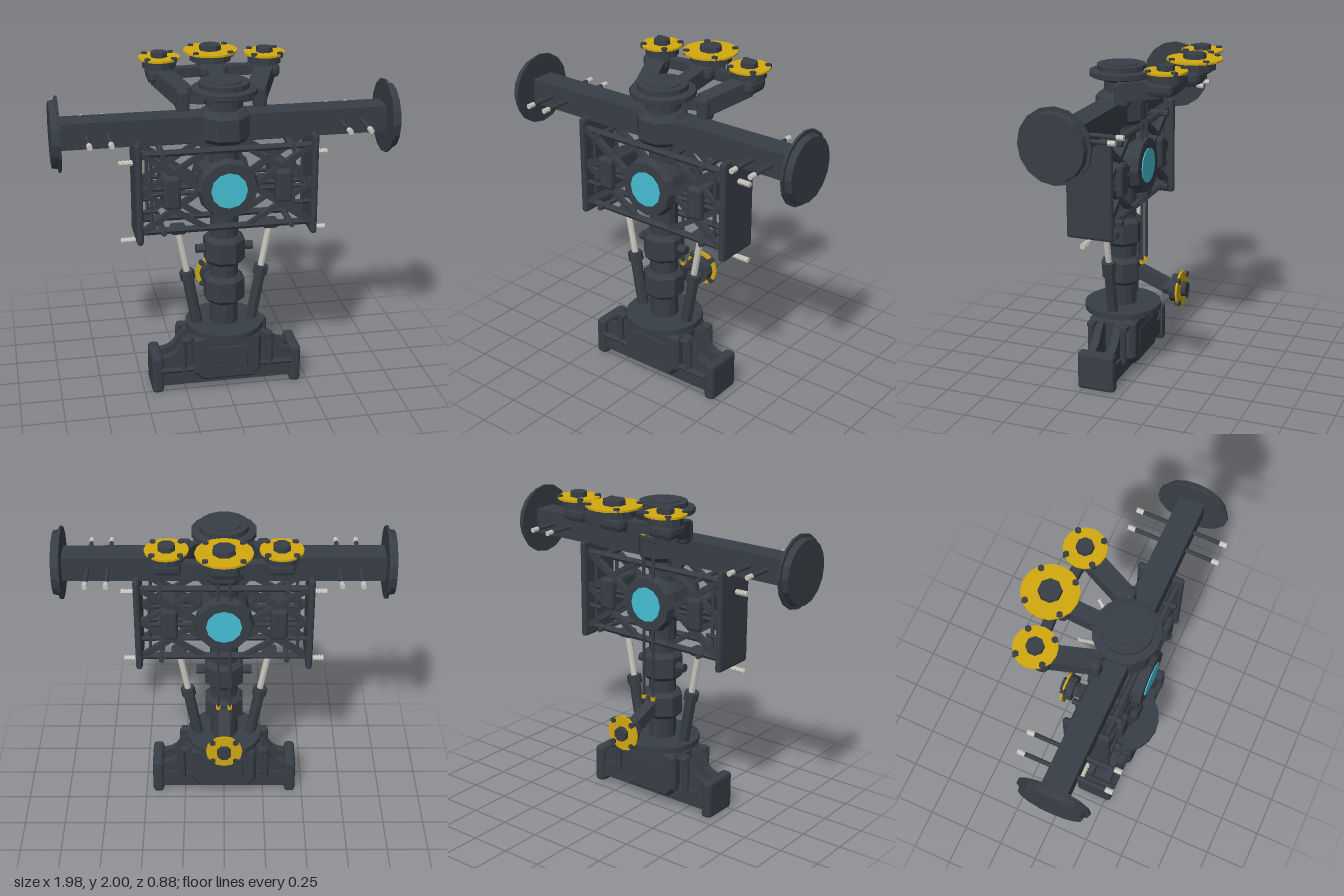
import * as THREE from 'three';
import { RoundedBoxGeometry } from 'three/addons/geometries/RoundedBoxGeometry.js';

const paint = (name, color) => {
  const m = new THREE.MeshStandardMaterial({ color, flatShading: true });
  m.name = name;
  return m;
};

export function createModel() {
  const dark = paint('dark hull', 0x383e46);
  const gold = paint('gold ring', 0xd2a90f);
  const glass = paint('cyan window', 0x45bfd4);
  const steel = paint('pale steel', 0xc9c6be);
  const model = new THREE.Group();
  model.name = 'station';
  const CZ = 0.165; // depth of the central axis
  const V = (x, y, z) => new THREE.Vector3(x, y, z);
  const UP = V(0, 1, 0);

  const add = (name, geo, mat, x = 0, y = 0, z = 0, parent = model) => {
    const m = new THREE.Mesh(geo, mat);
    m.name = name;
    m.position.set(x, y, z);
    parent.add(m);
    return m;
  };
  // chamfered box
  const block = (name, w, h, d, x, y, z, c = 0.012) =>
    add(name, new RoundedBoxGeometry(w, h, d, 1, c), dark, x, y, z);
  // round bar between two points
  const bar = (name, mat, a, b, r, n = 8, r2 = r) => {
    const d = b.clone().sub(a);
    const mid = a.clone().add(b).multiplyScalar(0.5);
    const m = add(name, new THREE.CylinderGeometry(r2, r, d.length(), n), mat, mid.x, mid.y, mid.z);
    m.quaternion.setFromUnitVectors(UP, d.normalize());
    return m;
  };
  // square beam between two points
  const beam = (name, a, b, w, h) => {
    const mid = a.clone().add(b).multiplyScalar(0.5);
    const m = add(name, new THREE.BoxGeometry(w, h, a.distanceTo(b)), dark, mid.x, mid.y, mid.z);
    m.lookAt(b);
  };
  // turned part on the central axis, points are [radius, height]
  const turned = (name, pts, n) => {
    const m = add(name, new THREE.LatheGeometry(pts.map(p => new THREE.Vector2(...p)), n), dark, 0, 0, CZ);
    m.rotation.y = Math.PI / n;
  };
  const collar = (name, y0, y1, r, c) =>
    turned(name, [[0, y0], [r - c, y0], [r, y0 + c], [r, y1 - c], [r - c, y1], [0, y1]], 8);

  // docking port, its axis along local y, ring at local y = 0
  const port = (name, r, body, x, y, z) => {
    const g = new THREE.Group();
    g.name = name;
    g.position.set(x, y, z);
    model.add(g);
    add('portBody', new THREE.CylinderGeometry(body, body, 0.05, 12), dark, 0, -0.03, 0, g);
    add('portRing', new THREE.CylinderGeometry(r, r, 0.012, 16), gold, 0, 0, 0, g);
    const hub = add('portHub', new THREE.CylinderGeometry(r * 0.4, r * 0.42, 0.034, 8), dark, 0, 0.018, 0, g);
    hub.rotation.y = Math.PI / 8;
    for (const sx of [-1, 1]) for (const sz of [-1, 1])
      add('portBolt', new THREE.CylinderGeometry(0.019, 0.019, 0.03, 6), dark, sx * r * 0.63, 0, sz * r * 0.63, g);
    return g;
  };

  // central column and its collars
  bar('column', dark, V(0, 0.4, CZ), V(0, 1.85, CZ), 0.085, 12);
  collar('lowerCollar', 0.55, 0.72, 0.126, 0.025);
  collar('middleCollar', 0.8, 0.975, 0.126, 0.025);
  collar('beamCollar', 1.56, 1.745, 0.155, 0.03);
  bar('collarAxle', dark, V(-0.17, 0.89, CZ), V(0.17, 0.89, CZ), 0.028);
  turned('topCap', [[0, 1.74], [0.105, 1.76], [0.105, 1.81], [0.18, 1.835], [0.19, 1.84],
    [0.19, 1.868], [0.145, 1.875], [0.145, 1.905], [0.1, 1.905], [0.1, 1.912], [0, 1.912]], 16);

  // window hub facing both ways
  bar('windowHub', dark, V(0, 1.305, 0.01), V(0, 1.305, 0.32), 0.15, 12);
  for (const s of [-1, 1]) {
    const z = CZ + s * 0.14;
    bar('hubRing', dark, V(0, 1.305, z - s * 0.025), V(0, 1.305, z + s * 0.025), 0.18, 12, 0.165);
    bar('window', glass, V(0, 1.305, z + s * 0.024), V(0, 1.305, z + s * 0.031), 0.106, 12);
  }

  // cross beam
  add('crossBeam', new THREE.BoxGeometry(1.9, 0.152, 0.152), dark, 0, 1.648, 0.158);
  // base: platform, drum, hull and foot beam
  bar('basePlatform', dark, V(0, 0.38, CZ), V(0, 0.415, CZ), 0.235, 20);
  bar('baseNeck', dark, V(0, 0.34, CZ), V(0, 0.39, CZ), 0.16, 12);
  const hull = new THREE.Shape([[-0.2, 0.13], [-0.15, 0.08], [0.15, 0.08], [0.2, 0.13], [0.2, 0.345],
    [0.18, 0.37], [-0.18, 0.37], [-0.2, 0.345]].map(p => new THREE.Vector2(...p)));
  add('baseHull', new THREE.ExtrudeGeometry(hull, { depth: 0.25, bevelThickness: 0.025, bevelSize: 0.02,
    bevelOffset: -0.015, bevelSegments: 1 }), dark, 0, 0, 0.035);
  for (const z of [0.012, 0.309]) block('hullPanel', 0.24, 0.14, 0.012, 0, 0.23, z, 0.005);
  add('footBeam', new THREE.BoxGeometry(0.82, 0.11, 0.2), dark, 0, 0.1, CZ);

  for (const s of [-1, 1]) {
    // beam end discs and bars through the beam
    bar('endFlange', dark, V(s * 0.938, 1.648, CZ), V(s * 0.952, 1.648, CZ), 0.215, 16);
    bar('endDisc', dark, V(s * 0.95, 1.648, CZ), V(s * 0.99, 1.648, CZ), 0.195, 16, 0.188);
    for (const x of [0.67, 0.79]) {
      bar('crossRod', dark, V(s * x, 1.65, -0.08), V(s * x, 1.65, 0.4), 0.013);
      for (const [a, b] of [[-0.118, -0.075], [0.395, 0.438]])
        bar('rodTip', steel, V(s * x, 1.65, a), V(s * x, 1.65, b), 0.016);
    }

    // side plate with pegs
    block('sidePlate', 0.04, 0.615, 0.285, s * 0.51, 1.293, 0.158, 0.018);
    for (const y of [1.45, 0.975]) {
      bar('peg', steel, V(s * 0.5, y, CZ), V(s * 0.61, y, CZ), 0.014);
      for (let i = 0; i < 4; i++)
        bar('pegRib', steel, V(s * (0.537 + i * 0.02), y, CZ), V(s * (0.547 + i * 0.02), y, CZ), 0.018);
    }

    // truss between column and side plate, front and back layers
    for (const z of [0.065, 0.262]) {
      for (const [y, r] of [[1.06, 0.02], [1.32, 0.014], [1.285, 0.014], [1.53, 0.02]])
        bar('trussRail', dark, V(0, y, z), V(s * 0.5, y, z), r, 6);
      bar('trussPost', dark, V(s * 0.44, 1.06, z), V(s * 0.44, 1.53, z), 0.011, 6);
      for (const [y0, y1] of [[1.06, 1.3], [1.53, 1.3]]) {
        beam('trussDiagonal', V(s * 0.49, y0, z), V(s * 0.15, y1, z), 0.035, 0.035);
        beam('trussDiagonal', V(s * 0.12, y0, z), V(s * 0.49, y1, z), 0.03, 0.03);
      }
      bar('trussStub', dark, V(s * 0.4, 1.185, z), V(s * 0.49, 1.185, z), 0.013, 6);
    }
    for (const y of [1.06, 1.53])
      bar('trussTie', dark, V(s * 0.375, y, 0.01), V(s * 0.375, y, 0.31), 0.018, 6);
    block('trussBox', 0.1, 0.2, 0.3, s * 0.325, 1.3, CZ, 0.02);
    beam('columnBrace', V(s * 0.05, 1.48, CZ), V(s * 0.13, 1.57, CZ), 0.04, 0.08);

    // telescopic struts
    block('strutSocket', 0.09, 0.055, 0.08, s * 0.275, 1.025, CZ, 0.015);
    bar('strutRod', steel, V(s * 0.215, 0.7, CZ), V(s * 0.273, 1.01, CZ), 0.02);
    bar('strutSleeve', dark, V(s * 0.165, 0.4, CZ), V(s * 0.222, 0.72, CZ), 0.034);
    bar('strutCollar', dark, V(s * 0.217, 0.698, CZ), V(s * 0.227, 0.752, CZ), 0.045);

    // foot: end block, sloping gusset and pins
    block('footBlock', 0.068, 0.24, 0.235, s * 0.422, 0.123, CZ, 0.02);
    const gusset = new THREE.Shape([[0.18, 0.06], [0.4, 0.06], [0.4, 0.215], [0.34, 0.23], [0.31, 0.25],
      [0.24, 0.345], [0.18, 0.345]].map(p => new THREE.Vector2(...p)));
    const web = new THREE.ExtrudeGeometry(gusset, { depth: 0.05, bevelEnabled: false });
    for (const z of [0.08, 0.2]) {
      const g = add('footGusset', web, dark, 0, 0, s > 0 ? z : z + 0.05);
      if (s < 0) g.rotation.y = Math.PI;
    }
    for (const z of [0.06, 0.27]) {
      bar('footPin', dark, V(s * 0.265, 0.12, z), V(s * 0.265, 0.34, z), 0.02);
      block('pinHead', 0.06, 0.03, 0.05, s * 0.245, 0.345, z, 0.008);
    }
    bar('footRail', dark, V(s * 0.18, 0.15, 0.275), V(s * 0.4, 0.15, 0.275), 0.016, 6);

    // arm carrying a side port
    block('armFoot', 0.075, 0.14, 0.09, s * 0.225, 1.775, 0.07, 0.02);
    beam('sideArm', V(s * 0.21, 1.79, 0.06), V(s * 0.315, 1.85, -0.2), 0.11, 0.1);
    block('sideMount', 0.16, 0.09, 0.16, s * 0.315, 1.86, -0.21, 0.03);
    beam('armLink', V(s * 0.3, 1.855, -0.225), V(0, 1.855, -0.25), 0.06, 0.06);
    beam('armRoot', V(s * 0.1, 1.8, 0.12), V(s * 0.23, 1.79, 0.04), 0.05, 0.07);
    port('sidePort', 0.123, 0.1, s * 0.315, 1.952, -0.225);
    bar('armPiston', steel, V(s * 0.08, 1.73, 0.03), V(s * 0.13, 1.81, -0.06), 0.011);

    // thin conduits down the back with gold ends
    bar('conduit', dark, V(s * 0.035, 0.69, 0.025), V(s * 0.035, 1.75, 0.025), 0.01, 6);
    for (const y of [0.7, 1.73])
      bar('conduitEnd', gold, V(s * 0.035, y - 0.01, 0.025), V(s * 0.035, y + 0.012, 0.025), 0.016, 6);
  }
  block('conduitClamp', 0.12, 0.04, 0.06, 0, 1.7, 0.045, 0.008);

  // centre arm and port on top
  beam('centreArm', V(0, 1.81, 0.1), V(0, 1.855, -0.25), 0.09, 0.1);
  block('centreMount', 0.17, 0.09, 0.18, 0, 1.865, -0.245, 0.03);
  port('centrePort', 0.162, 0.125, 0, 1.964, -0.285);

  // lower port facing back
  beam('lowerArm', V(0, 0.64, 0.08), V(0, 0.56, -0.12), 0.07, 0.075);
  bar('lowerMount', dark, V(0, 0.55, -0.11), V(0, 0.55, -0.17), 0.05, 8);
  port('lowerPort', 0.11, 0.085, 0, 0.55, -0.218).rotation.x = -Math.PI / 2;

  return model;
}
